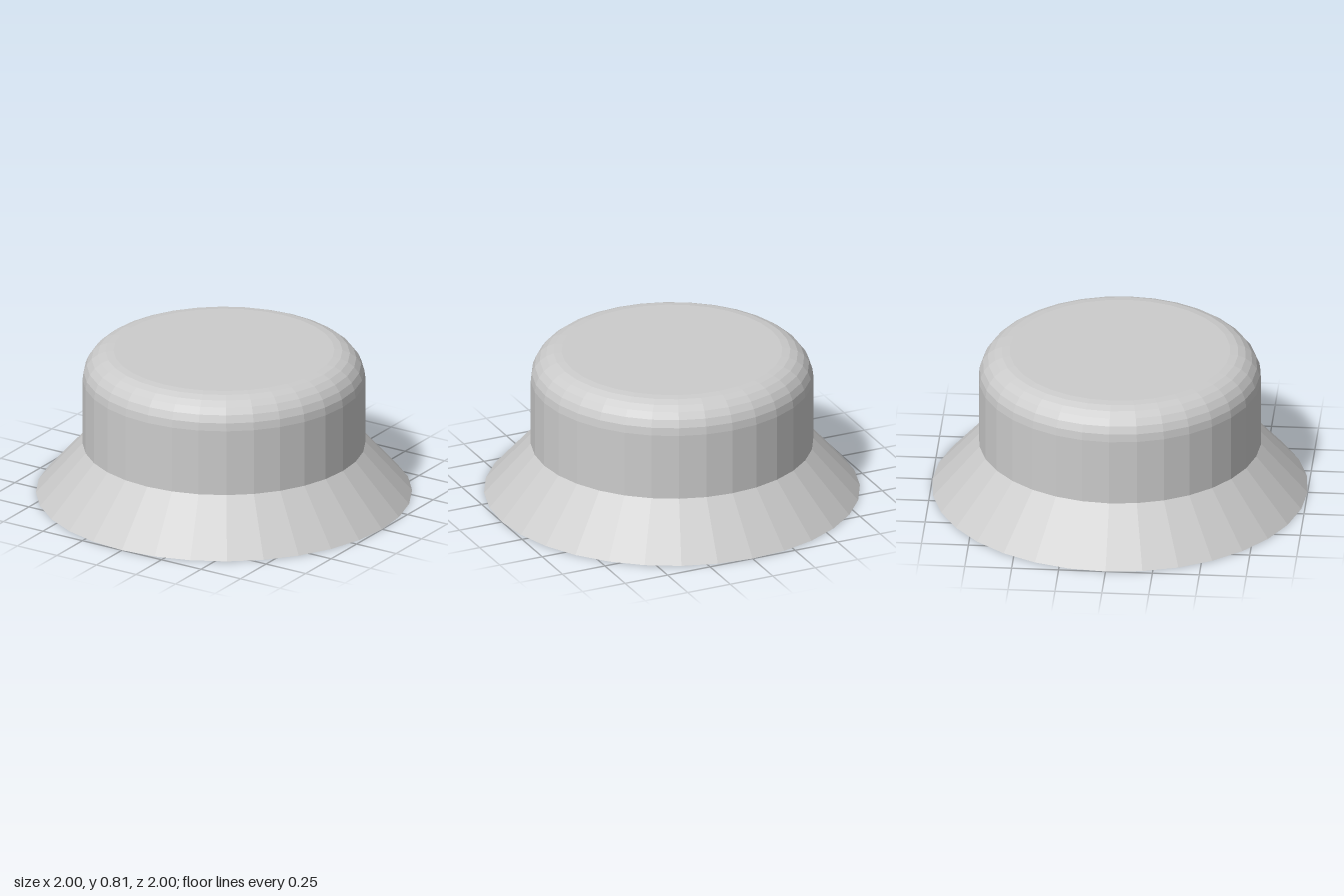
import * as THREE from 'three';

const SIDES = 32;

// Faceted solid of revolution from [radius, height] pairs, bottom to top
function turned(name, points) {
  const profile = points.map(([r, y]) => new THREE.Vector2(r, y));
  const material = new THREE.MeshStandardMaterial({ color: 0xcccccc, flatShading: true });
  const mesh = new THREE.Mesh(new THREE.LatheGeometry(profile, SIDES), material);
  mesh.name = name;
  return mesh;
}

export function createModel() {
  const group = new THREE.Group();
  group.name = 'roundedKnob';

  const neckY = 0.28, topY = 0.81, radius = 0.752, bevel = 0.165;

  // Flared skirt with a closed underside
  group.add(turned('flaredBase', [[0, 0], [1, 0], [radius, neckY]]));

  // Upright cap with a rounded shoulder and flat top
  const cap = [[radius, neckY]];
  const steps = 6;
  for (let i = 0; i <= steps; i++) {
    const a = (i / steps) * Math.PI / 2;
    cap.push([radius - bevel + bevel * Math.cos(a), topY - bevel + bevel * Math.sin(a)]);
  }
  cap.push([0, topY]);
  group.add(turned('roundedCap', cap));

  return group;
}
